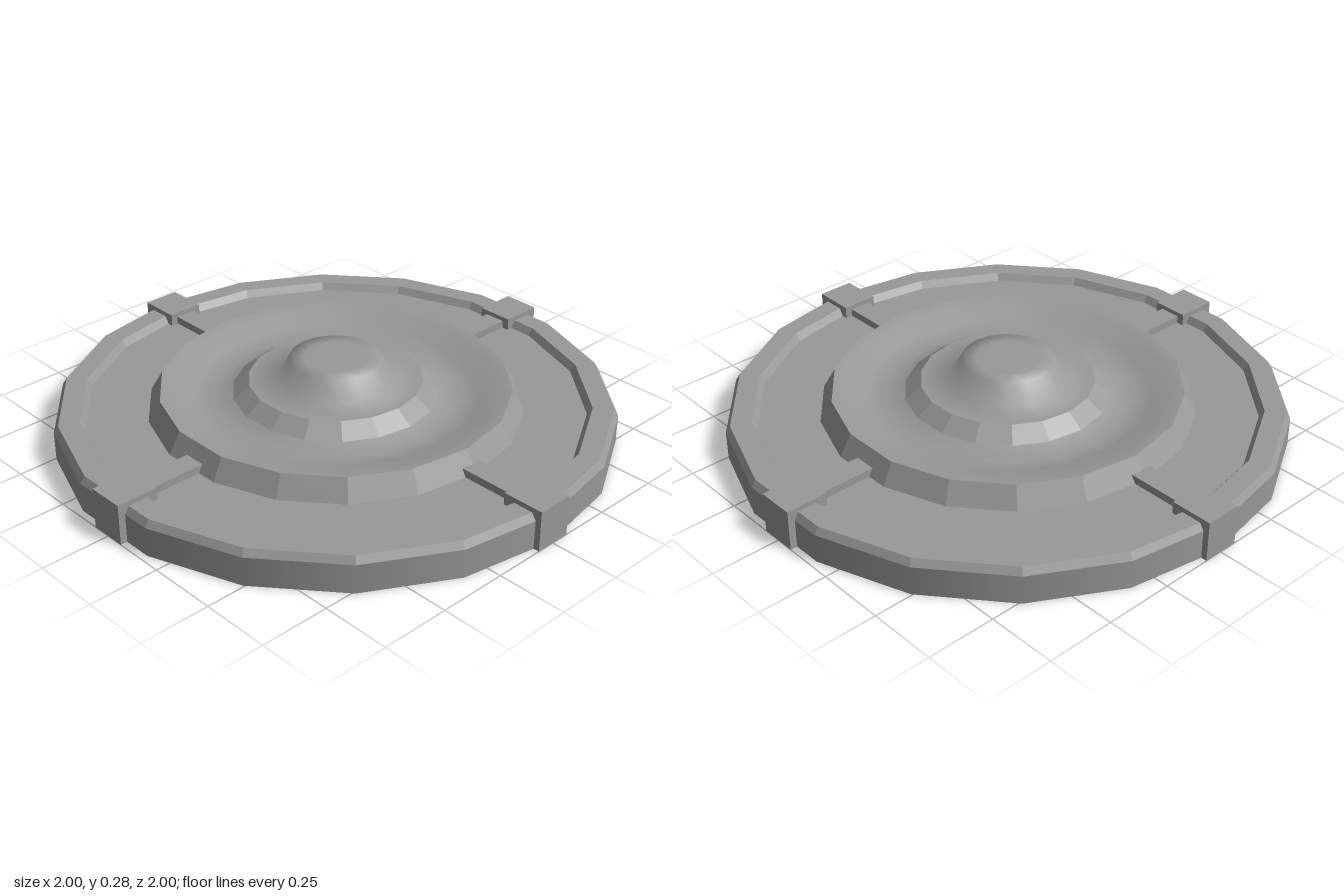
import * as THREE from 'three';

const SIDES = 18;
const GREY = 0x999999;
const smooth = new THREE.MeshStandardMaterial({ color: GREY, side: THREE.DoubleSide });
const faceted = new THREE.MeshStandardMaterial({ color: GREY, side: THREE.DoubleSide, flatShading: true });

// One band of the thin shell; the profile runs from outside to inside as [radius, height]
function band(name, profile, material) {
  const points = profile.map(([r, y]) => new THREE.Vector2(r, y));
  const mesh = new THREE.Mesh(new THREE.LatheGeometry(points, SIDES, Math.PI / 2), material);
  mesh.name = name;
  return mesh;
}

// Box without a bottom, given by its radial, vertical and sideways extent
function openBox(name, r0, r1, y0, y1, width) {
  const geometry = new THREE.BoxGeometry(r1 - r0, y1 - y0, width);
  const index = Array.from(geometry.index.array);
  index.splice(18, 6); // the downward face
  geometry.setIndex(index);
  geometry.clearGroups();
  geometry.translate((r0 + r1) / 2, (y0 + y1) / 2, 0);
  const mesh = new THREE.Mesh(geometry, faceted);
  mesh.name = name;
  return mesh;
}

export function createModel() {
  const model = new THREE.Group();
  model.name = 'roundPlate';

  // Outer rim, open underneath
  model.add(band('outerWall', [[0.99, 0], [0.99, 0.105]], smooth));
  model.add(band('rimTop', [[0.99, 0.105], [0.974, 0.13], [0.9, 0.13], [0.882, 0.104]], faceted));
  model.add(band('floor', [[0.882, 0.104], [0.665, 0.104]], faceted));

  // Raised ring and the soft dish inside it
  model.add(band('ringBevel', [[0.665, 0.104], [0.622, 0.18]], faceted));
  model.add(band('dish', [[0.622, 0.18], [0.57, 0.172], [0.5, 0.145], [0.43, 0.13], [0.366, 0.153]], smooth));

  // Inner step and the central dome
  model.add(band('innerBevel', [[0.366, 0.153], [0.308, 0.199]], faceted));
  model.add(band('dome', [[0.308, 0.199], [0.2, 0.201], [0.165, 0.275], [0.11, 0.278], [0, 0.278]], smooth));

  // Four clamps, each with a bar reaching in to the ring
  for (let i = 0; i < 4; i++) {
    const clamp = new THREE.Group();
    clamp.name = `clamp${i + 1}`;
    clamp.add(openBox('block', 0.847, 1, 0, 0.148, 0.135));
    clamp.add(openBox('bar', 0.635, 0.86, 0.1, 0.132, 0.08));
    clamp.rotation.y = (i * Math.PI) / 2;
    model.add(clamp);
  }
  return model;
}
